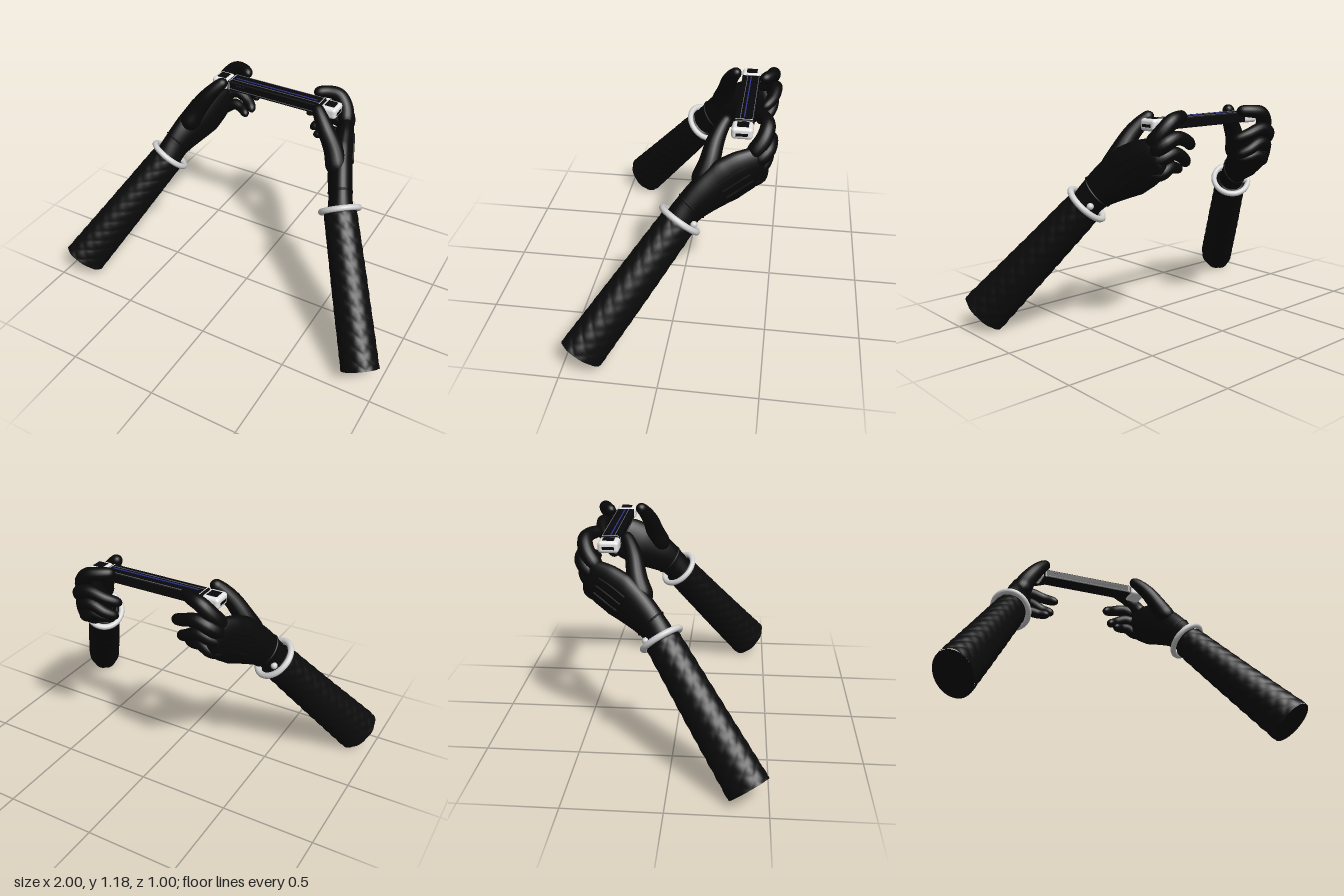
import * as THREE from 'three';
import { RoundedBoxGeometry } from 'three/addons/geometries/RoundedBoxGeometry.js';

const V = (a) => new THREE.Vector3(a[0], a[1], a[2]);

const material = (name, color, side = THREE.FrontSide) => {
  const m = new THREE.MeshStandardMaterial({ color, side });
  m.name = name;
  return m;
};

// Sections are [x, y, z, half width, half thickness]; w0 and w1 are the width
// directions at the two ends. Returns frames and surface points along the path.
function skin(sections, w0, w1 = w0) {
  const curve = new THREE.CatmullRomCurve3(sections.map(V), false, 'centripetal');
  const n = sections.length - 1;
  const frame = (u) => {
    const i = Math.min(Math.floor(u * n), n - 1), f = u * n - i;
    const mix = (k) => THREE.MathUtils.lerp(sections[i][k], sections[i + 1][k], f);
    const t = curve.getTangent(u);
    const w = V(w0).lerp(V(w1), u);
    w.addScaledVector(t, -w.dot(t)).normalize();
    return { c: curve.getPoint(u), t, w, n: t.clone().cross(w), a: mix(3), b: mix(4) };
  };
  const at = (u, angle, k = 1) => {
    const f = frame(u);
    return f.c.addScaledVector(f.w, f.a * k * Math.cos(angle)).addScaledVector(f.n, f.b * k * Math.sin(angle));
  };
  return { frame, at };
}

// Surface over a skin, with rounded ends and an optional relief
function loft(s, { rows = 28, cols = 24, start = 0, end = 0, relief = () => 1 } = {}) {
  const pos = [], index = [];
  for (let i = 0; i <= rows; i++) {
    const u = start || end ? (1 - Math.cos(Math.PI * i / rows)) / 2 : i / rows;
    const cap = (d, e) => (d < e ? Math.sqrt(Math.max(1e-6, 1 - (1 - d / e) ** 2)) : 1);
    const k = cap(u, start) * cap(1 - u, end);
    for (let j = 0; j < cols; j++) {
      const angle = 2 * Math.PI * j / cols;
      pos.push(...s.at(u, angle, k * relief(u, angle)).toArray());
      if (i === rows) continue;
      const a = i * cols + j, b = i * cols + (j + 1) % cols;
      index.push(a, b, a + cols, b, b + cols, a + cols);
    }
  }
  const g = new THREE.BufferGeometry();
  g.setAttribute('position', new THREE.Float32BufferAttribute(pos, 3));
  g.setIndex(index);
  g.computeVertexNormals();
  return g;
}

// Mirror a geometry across x = 0
function mirror(geometry) {
  const g = geometry.clone().scale(-1, 1, 1);
  if (g.index) {
    const a = g.index.array;
    for (let i = 0; i < a.length; i += 3) [a[i], a[i + 1]] = [a[i + 1], a[i]];
    return g;
  }
  for (const at of Object.values(g.attributes)) {
    const n = at.itemSize, a = at.array;
    for (let i = 0; i < at.count; i += 3) {
      for (let k = 0; k < n; k++) [a[i * n + k], a[(i + 1) * n + k]] = [a[(i + 1) * n + k], a[i * n + k]];
    }
  }
  return g;
}

export function createModel() {
  const model = new THREE.Group();
  model.name = 'handsHoldingDevice';
  const sleeveMat = material('sleeve black', 0x0b0b0b);
  const gloveMat = material('glove black', 0x080808);
  const bodyMat = material('device black', 0x09090b);
  const whiteMat = material('device white', 0xe6e6e6);
  const metalMat = material('bracelet silver', 0xd2d2d2);
  const greyMat = material('trim grey', 0x70747c);
  const blueMat = material('indicator blue', 0x2c3296);

  const left = new THREE.Group(), right = new THREE.Group(), device = new THREE.Group();
  left.name = 'leftArm';
  right.name = 'rightArm';
  device.name = 'device';
  model.add(left, right, device);
  const add = (parent, name, geometry, mat) => {
    const m = new THREE.Mesh(geometry, mat);
    m.name = name;
    parent.add(m);
  };
  const pair = (name, geometry, mat) => {
    add(left, name, geometry, mat);
    add(right, name, mirror(geometry), mat);
  };

  // Quilted sleeve with a diamond stitch pattern
  const up = [0.455, 0.678, 0.581];
  const sleeve = skin([
    [0.9, 0.092, 0.4, 0.128, 0.1],
    [0.72, 0.395, 0.175, 0.112, 0.096],
    [0.535, 0.71, -0.055, 0.096, 0.088],
  ], up);
  const stitch = (p) => Math.abs(Math.sin(p));
  pair('sleeve', loft(sleeve, {
    rows: 90, cols: 64, end: 0.04,
    relief: (u, a) => 0.965 + 0.04 * Math.sqrt(stitch(4 * a + u * 34) * stitch(4 * a - u * 34)),
  }), sleeveMat);
  pair('sleeveEnd', loft(skin([
    [0.9, 0.092, 0.4, 0.125, 0.098],
    [0.902, 0.088, 0.403, 0.001, 0.001],
  ], up), { rows: 3, cols: 40 }), sleeveMat);

  // Bracelet around the wrist
  const wrist = sleeve.frame(0.985);
  const ring = new THREE.TorusGeometry(0.101, 0.016, 14, 56).scale(1.06, 1, 1);
  ring.applyMatrix4(new THREE.Matrix4().makeBasis(wrist.w, wrist.n, wrist.t).setPosition(wrist.c));
  pair('bracelet', ring, metalMat);

  // Gloved palm
  const palm = skin([
    [0.55, 0.685, -0.035, 0.078, 0.07],
    [0.52, 0.755, -0.09, 0.085, 0.062],
    [0.48, 0.82, -0.165, 0.108, 0.066],
    [0.435, 0.885, -0.265, 0.13, 0.064],
    [0.41, 0.93, -0.345, 0.122, 0.056],
    [0.387, 0.962, -0.415, 0.1, 0.046],
    [0.37, 0.972, -0.45, 0.08, 0.035],
  ], [0.36, 0.7, 0.64], [0.2, 0.9, 0.35]);
  pair('palm', loft(palm, { rows: 40, cols: 32, end: 0.14 }), gloveMat);

  // Glove cuff seam, back ribs and wrist button
  const seam = Array.from({ length: 20 }, (_, i) => palm.at(0.2, i * Math.PI / 10));
  pair('cuffSeam', new THREE.TubeGeometry(new THREE.CatmullRomCurve3(seam, true), 40, 0.005, 6, true), gloveMat);
  for (const angle of [1.15, 1.55, 1.95]) {
    const rib = [0.44, 0.53, 0.62, 0.71].map((u) => palm.at(u, angle));
    pair('backRib', new THREE.TubeGeometry(new THREE.CatmullRomCurve3(rib), 12, 0.007, 6), gloveMat);
  }
  pair('wristButton', new THREE.SphereGeometry(0.018, 18, 12).translate(...palm.at(0.1, 2.0, 1.08).toArray()), metalMat);

  // Fingers and thumb: joint positions, then radii at both ends
  const digits = {
    indexFinger: [[[0.405, 1.0, -0.37], [0.375, 1.08, -0.43], [0.325, 1.135, -0.45], [0.265, 1.148, -0.435], [0.2, 1.148, -0.39]], 0.046, 0.03],
    middleFinger: [[[0.41, 0.97, -0.39], [0.375, 1.03, -0.455], [0.31, 1.055, -0.468], [0.225, 1.03, -0.455], [0.155, 0.995, -0.405]], 0.044, 0.027],
    ringFinger: [[[0.41, 0.92, -0.38], [0.375, 0.96, -0.438], [0.315, 0.98, -0.455], [0.24, 0.945, -0.445], [0.185, 0.91, -0.4]], 0.042, 0.026],
    littleFinger: [[[0.41, 0.87, -0.36], [0.37, 0.885, -0.425], [0.32, 0.91, -0.43], [0.27, 0.9, -0.42], [0.215, 0.885, -0.38]], 0.04, 0.024],
    thumb: [[[0.475, 0.85, -0.13], [0.43, 0.96, -0.175], [0.365, 1.06, -0.2], [0.315, 1.12, -0.228], [0.275, 1.16, -0.258]], 0.062, 0.028],
  };
  for (const [name, [joints, r0, r1]] of Object.entries(digits)) {
    const sections = joints.map((p, i) => {
      const r = THREE.MathUtils.lerp(r0, r1, i / (joints.length - 1));
      return [...p, r, r];
    });
    pair(name, loft(skin(sections, name === 'thumb' ? [0.3, 0.3, 1] : [0.3, 1, 0.6]),
      { rows: 30, cols: 18, start: 0.14, end: 0.12 }), gloveMat);
  }

  // Handheld device: dark bar with white end blocks
  const box = (name, mat, size, at) => add(device, name, new THREE.BoxGeometry(...size).translate(...at), mat);
  add(device, 'deviceBody', new RoundedBoxGeometry(0.57, 0.056, 0.098, 3, 0.008).translate(0, 1.113, -0.33), bodyMat);
  for (const s of [-1, 1]) {
    add(device, 'endBlock', new RoundedBoxGeometry(0.095, 0.062, 0.106, 4, 0.018).translate(s * 0.332, 1.111, -0.328), whiteMat);
    box('topPad', bodyMat, [0.055, 0.004, 0.058], [s * 0.332, 1.142, -0.33]);
    box('endSlot', bodyMat, [0.004, 0.015, 0.06], [s * 0.379, 1.108, -0.327]);
    box('frontEdge', whiteMat, [0.004, 0.046, 0.003], [s * 0.272, 1.113, -0.281]);
    box('topEdge', whiteMat, [0.004, 0.003, 0.086], [s * 0.272, 1.141, -0.33]);
  }
  box('frontTrim', greyMat, [0.54, 0.003, 0.003], [0, 1.098, -0.281]);
  box('topTrim', greyMat, [0.54, 0.003, 0.003], [0, 1.141, -0.31]);
  box('rearTrim', greyMat, [0.54, 0.003, 0.003], [0, 1.141, -0.372]);
  box('lightStrip', blueMat, [0.5, 0.004, 0.006], [0, 1.142, -0.33]);
  for (let i = 0; i < 3; i++) box('indicator', blueMat, [0.01, 0.004, 0.003], [-0.22 + i * 0.02, 1.125, -0.281]);
  return model;
}
